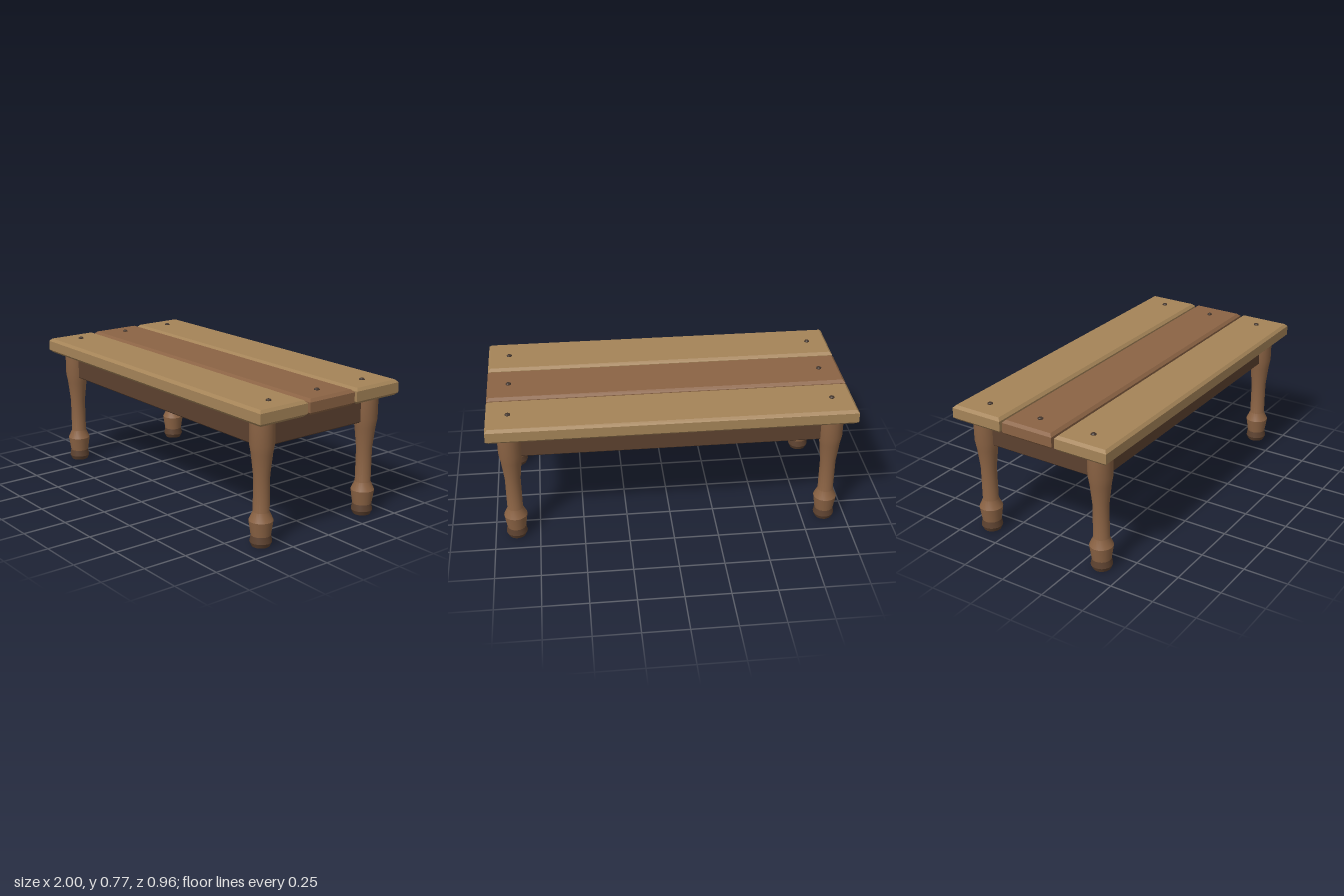
import * as THREE from 'three';
import { toCreasedNormals } from 'three/addons/utils/BufferGeometryUtils.js';

const material = (name, color) => new THREE.MeshStandardMaterial({ name, color });

// Box centred on the origin with chamfered upper and lower rims
function chamferedBox(w, h, d, c) {
  const x = w / 2 - c, z = d / 2 - c;
  const shape = new THREE.Shape([[-x, -z], [x, -z], [x, z], [-x, z]].map(p => new THREE.Vector2(...p)));
  const geometry = new THREE.ExtrudeGeometry(shape, {
    depth: h - 2 * c, bevelEnabled: true, bevelThickness: c, bevelSize: c, bevelSegments: 1,
  });
  geometry.translate(0, 0, c - h / 2);
  geometry.rotateX(-Math.PI / 2);
  return geometry;
}

// Turned part from [radius, height] pairs, bottom to top
function turned(profile, sides) {
  const points = profile.map(([r, y]) => new THREE.Vector2(r, y));
  return toCreasedNormals(new THREE.LatheGeometry(points, sides), 0.5);
}

export function createModel() {
  const lightWood = material('lightWood', 0xa58458);
  const midWood = material('midWood', 0x8b6344);
  const darkWood = material('darkWood', 0x5c412f);
  const darkMetal = material('darkMetal', 0x43352c);

  const model = new THREE.Group();
  model.name = 'bench';
  const add = (name, geometry, mat, x, y, z) => {
    const mesh = new THREE.Mesh(geometry, mat);
    mesh.name = name;
    mesh.position.set(x, y, z);
    model.add(mesh);
  };

  // Three seat planks, each held by a bolt at both ends
  const plank = chamferedBox(2, 0.085, 0.31, 0.015);
  const bolt = turned([[0.015, -0.005], [0.015, 0.004], [0.009, 0.009], [0, 0.009]], 8);
  for (const i of [-1, 0, 1]) {
    add('seatPlank', plank, i === 0 ? midWood : lightWood, 0, 0.7225, i * 0.327);
    for (const s of [-1, 1]) add('bolt', bolt, darkMetal, s * 0.88, 0.765, i * 0.327);
  }

  // Turned legs with dark feet
  const leg = turned([
    [0.053, 0.06], [0.065, 0.14], [0.0435, 0.187], [0.0435, 0.38],
    [0.057, 0.5], [0.066, 0.55], [0.066, 0.685], [0, 0.685],
  ], 20);
  const foot = turned([[0, 0], [0.048, 0], [0.059, 0.024], [0.053, 0.06]], 20);
  for (const x of [-0.88, 0.88]) {
    for (const z of [-0.365, 0.365]) {
      add('leg', leg, midWood, x, 0, z);
      add('foot', foot, darkWood, x, 0, z);
    }
  }

  // Aprons joining the legs under the seat
  const longApron = chamferedBox(1.72, 0.15, 0.046, 0.007);
  const endApron = chamferedBox(0.046, 0.15, 0.69, 0.007);
  for (const s of [-1, 1]) {
    add('longApron', longApron, darkWood, 0, 0.609, s * 0.365);
    add('endApron', endApron, darkWood, s * 0.88, 0.609, 0);
  }
  return model;
}
